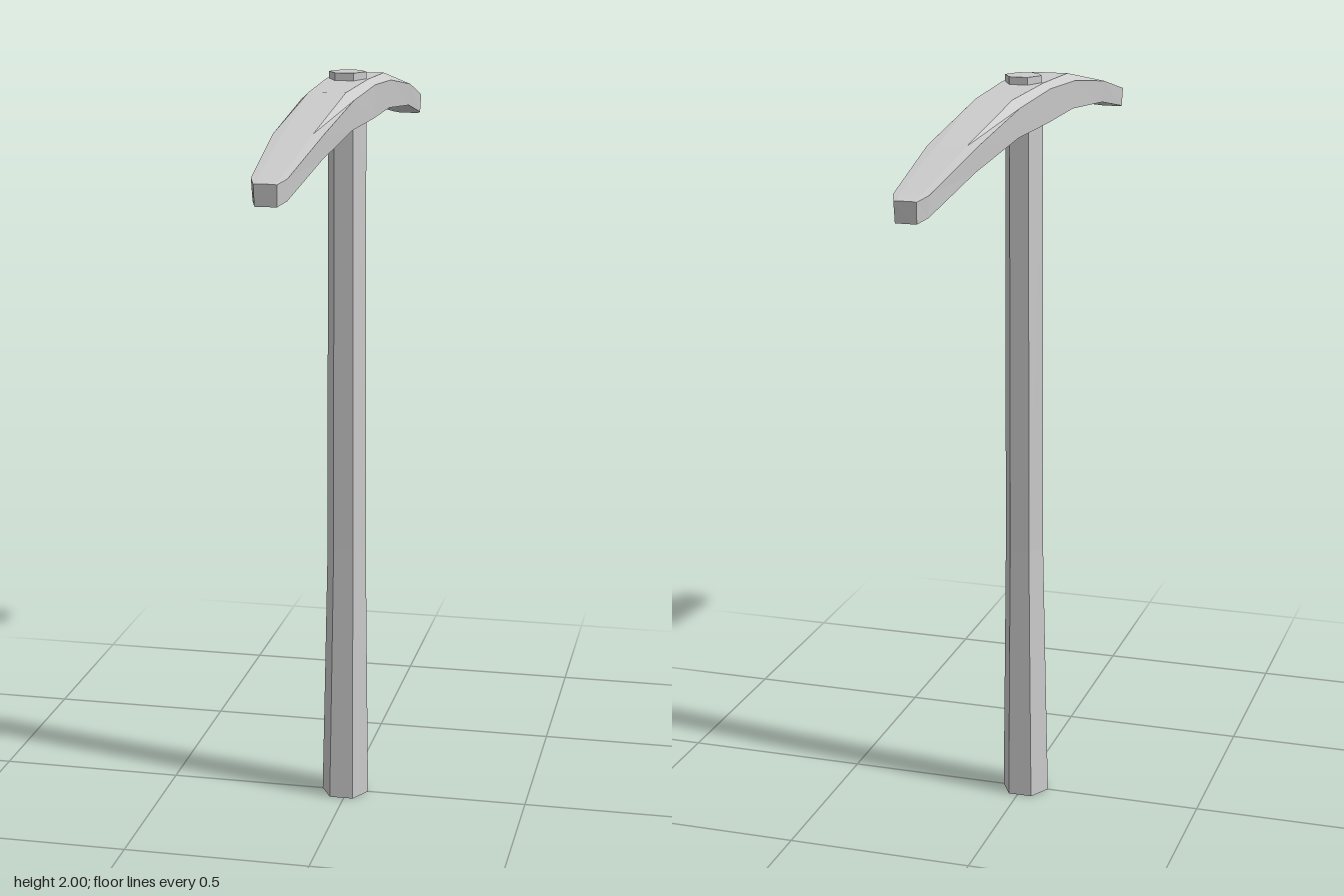
import * as THREE from 'three';

// Skin a list of equal-length rings, closing both ends; rings run
// counter-clockwise seen from the far (last) end.
function loft(name, rings) {
  const n = rings[0].length, pos = [];
  const tri = (a, b, c) => pos.push(...a, ...b, ...c);
  for (let i = 0; i < rings.length - 1; i++) {
    const a = rings[i], b = rings[i + 1];
    for (let j = 0; j < n; j++) {
      const k = (j + 1) % n;
      tri(a[j], a[k], b[k]);
      tri(a[j], b[k], b[j]);
    }
  }
  const first = rings[0], last = rings[rings.length - 1];
  for (let j = 1; j < n - 1; j++) {
    tri(first[0], first[j + 1], first[j]);
    tri(last[0], last[j], last[j + 1]);
  }
  const geo = new THREE.BufferGeometry();
  geo.setAttribute('position', new THREE.Float32BufferAttribute(pos, 3));
  geo.computeVertexNormals();
  const mesh = new THREE.Mesh(geo, new THREE.MeshStandardMaterial({ color: 0xcccccc, flatShading: true }));
  mesh.name = name;
  return mesh;
}

// Six-sided handle ring with points towards +x and -x
const handleRing = ([y, cx, rx, rz]) => [
  [cx + rx, y, 0], [cx + rx / 2, y, -rz], [cx - rx / 2, y, -rz],
  [cx - rx, y, 0], [cx - rx / 2, y, rz], [cx + rx / 2, y, rz],
];

// Head ring: flat underside, upright sides, raised crown along the top
const headRing = ([z, w, bw, bottom, side, crown, cw]) => [
  [-bw, bottom, z * 0.995], [bw, bottom, z * 0.995], [w, side, z],
  [cw, crown, z], [-cw, crown, z], [-w, side, z],
];

export function createModel() {
  const group = new THREE.Group();
  group.name = 'pickaxe';

  // Handle, flared at the foot and passing through the head
  group.add(loft('handle', [
    [0, -0.007, 0.065, 0.057],
    [0.35, -0.005, 0.059, 0.052],
    [0.72, -0.003, 0.053, 0.046],
    [1.85, -0.002, 0.051, 0.045],
    [2, 0, 0.049, 0.044],
  ].map(handleRing)));

  // Half of the head from centre to tip:
  // z, half width, underside half width, underside y, side y, crown y, crown half width
  const half = [
    [0, 0.072, 0.068, 1.88, 1.967, 1.982, 0.055],
    [0.25, 0.067, 0.063, 1.88, 1.954, 1.973, 0.047],
    [0.58, 0.061, 0.057, 1.85, 1.909, 1.911, 0.036],
    [0.87, 0.042, 0.04, 1.797, 1.848, 1.849, 0.026],
    [0.91, 0.027, 0.026, 1.789, 1.84, 1.841, 0.02],
  ];
  const mirrored = half.slice(1).reverse().map(([z, ...rest]) => [-z, ...rest]);
  group.add(loft('head', [...mirrored, ...half].map(headRing)));

  return group;
}
